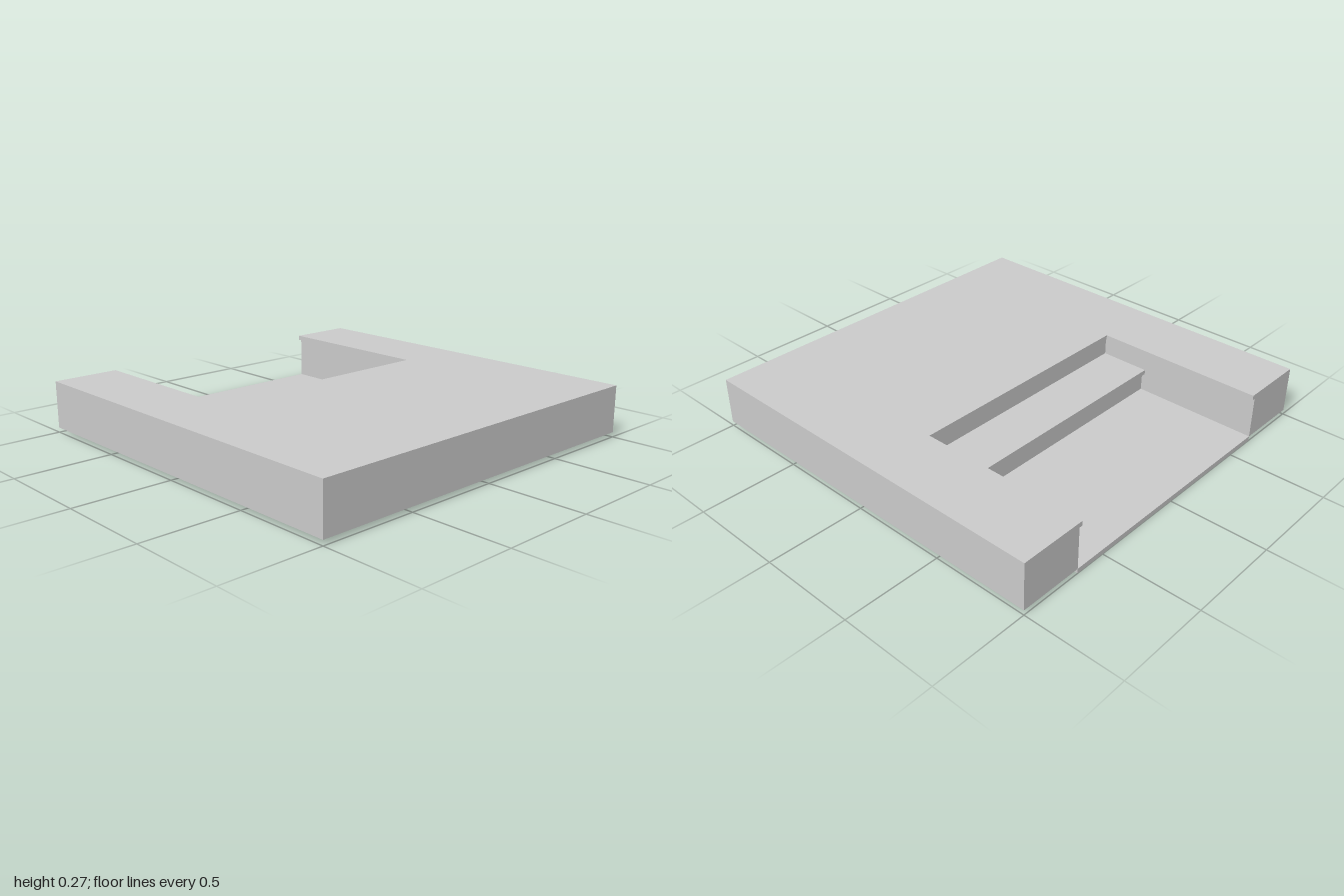
import * as THREE from 'three';

const WALL_X = -0.083, WALL_Z = 0.667; // pocket walls
const LIP = 0.017;                     // overhang of the lips
const FLOOR = 0.025, TOP = 0.27, LIP_H = 0.025, SHELF = 0.147;

const material = new THREE.MeshStandardMaterial({ color: 0xcccccc, flatShading: true });

function addMesh(group, name, geometry) {
  const mesh = new THREE.Mesh(geometry, material);
  mesh.name = name;
  group.add(mesh);
  return mesh;
}

function extrude(points, depth) {
  const shape = new THREE.Shape(points.map(([x, y]) => new THREE.Vector2(x, y)));
  return new THREE.ExtrudeGeometry(shape, { depth, bevelEnabled: false });
}

// U-shaped plan, open towards -x, standing between two heights
function uFrame(outerX, outerZ, innerX, innerZ, y0, y1) {
  const plan = [
    [-1, -outerZ], [outerX, -outerZ], [outerX, outerZ], [-1, outerZ],
    [-1, innerZ], [innerX, innerZ], [innerX, -innerZ], [-1, -innerZ],
  ];
  return extrude(plan, y1 - y0).rotateX(-Math.PI / 2).translate(0, y0, 0);
}

export function createModel() {
  const group = new THREE.Group();
  group.name = 'recessedSlab';

  // Thick square slab with a pocket cut in from one side
  addMesh(group, 'slab', uFrame(1, 1, WALL_X, WALL_Z, FLOOR, TOP));

  // Thin lip around the top of the pocket
  addMesh(group, 'pocketLip',
    uFrame(WALL_X, WALL_Z, WALL_X - LIP, WALL_Z - LIP, TOP - LIP_H, TOP));

  // Shelf at the inner end of the pocket, with its own overhanging edge
  const riserX = -0.333;
  const profile = [
    [WALL_X, FLOOR], [WALL_X, SHELF], [riserX - LIP, SHELF],
    [riserX - LIP, SHELF - LIP_H], [riserX, SHELF - LIP_H], [riserX, FLOOR],
  ];
  addMesh(group, 'shelf', extrude(profile, 2 * WALL_Z).translate(0, 0, -WALL_Z));

  // Plate under the slab that closes the pocket floor
  const plate = addMesh(group, 'floorPlate', new THREE.BoxGeometry(1, FLOOR, 2 * WALL_Z));
  plate.position.set(-0.5, FLOOR / 2, 0);

  return group;
}
